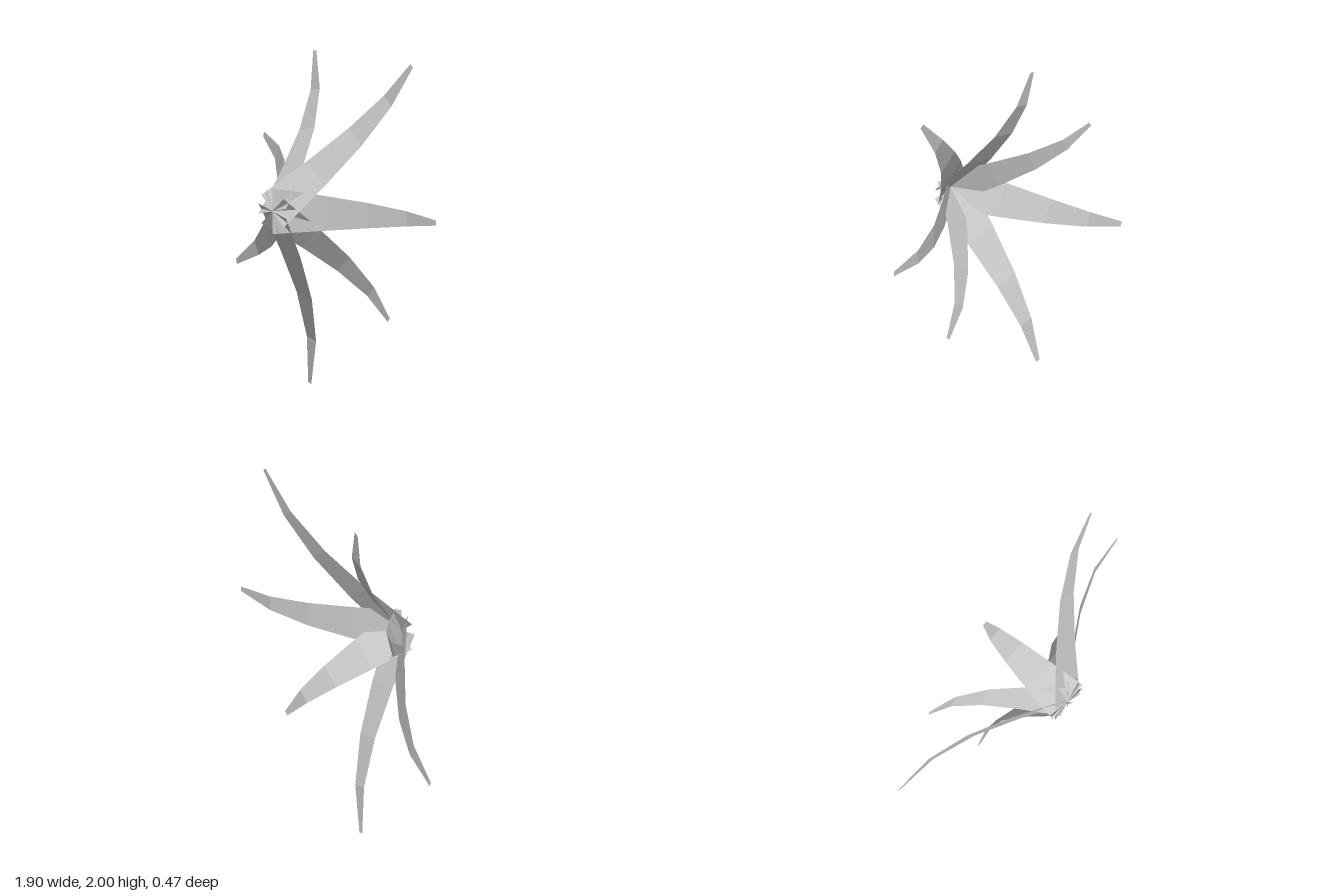
import * as THREE from 'three';

const CENTER_Y = 1.09;
const DEPTH = 0.47;       // how far each leaf sweeps back
const BASE_HALF = 0.135;  // half width at the root
const TIP_HALF = 0.015;   // half width at the tip
const LENGTHS = [0.95, 1.151, 0.903, 0.76, 1.046, 1.115, 0.802];

// Flat tapering strip along +x that bends back along a quarter sine
function leafGeometry(length) {
  const geo = new THREE.PlaneGeometry(1, 1, 4, 1);
  const pos = geo.attributes.position;
  for (let i = 0; i < pos.count; i++) {
    const t = pos.getX(i) + 0.5;
    const side = Math.sign(pos.getY(i));
    pos.setXYZ(
      i,
      t * length,
      side * THREE.MathUtils.lerp(BASE_HALF, TIP_HALF, t),
      DEPTH / 2 - DEPTH * Math.sin((t * Math.PI) / 2)
    );
  }
  const flat = geo.toNonIndexed();
  flat.computeVertexNormals();
  return flat;
}

export function createModel() {
  const plant = new THREE.Group();
  plant.name = 'leafRosette';
  const material = new THREE.MeshStandardMaterial({
    color: 0xcccccc, flatShading: true, side: THREE.DoubleSide,
  });

  // Leaves evenly spaced around a shared root, each with its own length
  LENGTHS.forEach((length, i) => {
    const leaf = new THREE.Mesh(leafGeometry(length), material);
    leaf.name = `leaf${i + 1}`;
    leaf.position.y = CENTER_Y;
    leaf.rotation.z = (i / LENGTHS.length) * Math.PI * 2;
    plant.add(leaf);
  });
  return plant;
}
